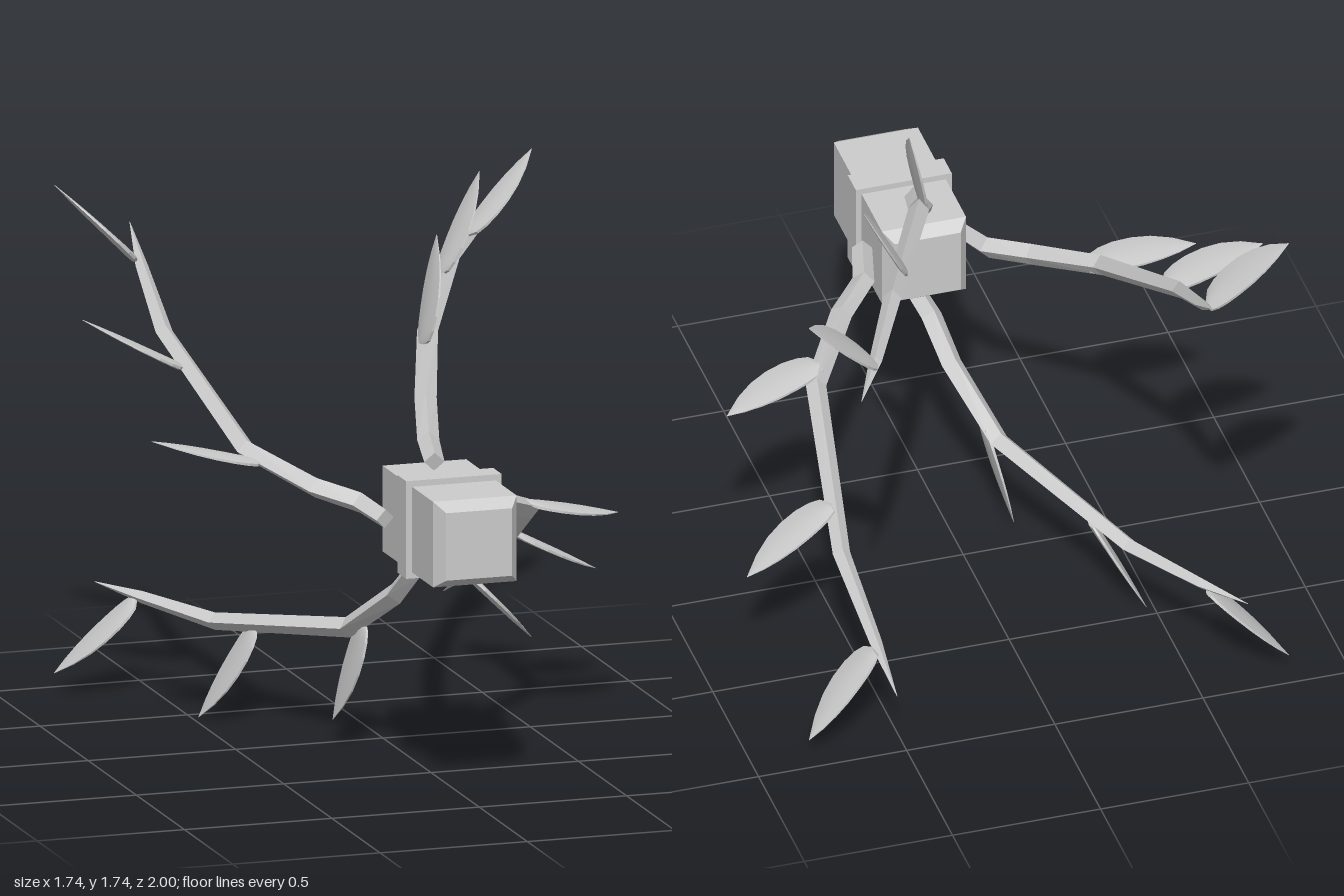
import * as THREE from 'three';

const grey = new THREE.MeshStandardMaterial({ color: 0xcccccc });
grey.name = 'grey';
const CENTRE_Y = 0.88;

// Flat-shaded solid through four-sided rings (counter-clockwise about the path)
function loft(rings) {
  const pos = [];
  const tri = (a, b, c) => [a, b, c].forEach((p) => pos.push(p.x, p.y, p.z));
  const quad = (a, b, c, d) => { tri(a, b, c); tri(a, c, d); };
  for (let i = 0; i < rings.length - 1; i++) {
    const a = rings[i], b = rings[i + 1];
    for (let j = 0; j < 4; j++) {
      const k = (j + 1) % 4;
      quad(a[j], a[k], b[k], b[j]);
    }
  }
  const s = rings[0], e = rings[rings.length - 1];
  quad(s[3], s[2], s[1], s[0]);
  quad(e[0], e[1], e[2], e[3]);
  const g = new THREE.BufferGeometry();
  g.setAttribute('position', new THREE.Float32BufferAttribute(pos, 3));
  g.computeVertexNormals();
  return g;
}

// Square block from [z, half width] steps
function squareBlock(steps) {
  return loft(steps.map(([z, h]) => [[-h, -h], [h, -h], [h, h], [-h, h]]
    .map(([x, y]) => new THREE.Vector3(x, y, z))));
}

// Bent, tapering branch with a diamond section; points are [x, y, z, radius]
function branchGeometry(points) {
  const centres = points.map(([x, y, z]) => new THREE.Vector3(x, y, z));
  const up = new THREE.Vector3(0, 1, 0);
  return loft(centres.map((c, i) => {
    const dirs = [];
    if (i > 0) dirs.push(c.clone().sub(centres[i - 1]).normalize());
    if (i < centres.length - 1) dirs.push(centres[i + 1].clone().sub(c).normalize());
    const t = dirs.reduce((s, d) => s.add(d), new THREE.Vector3()).normalize();
    const v = up.clone().cross(t).normalize();
    const u = t.clone().cross(v);
    const r = points[i][3];
    return [[1, 0], [0, 1], [-1, 0], [0, -1]].map(([a, b]) =>
      c.clone().addScaledVector(v, a * r).addScaledVector(u, b * r));
  }));
}

// Curved leaf growing along +y, blade in the yz plane, slightly domed on both sides
// rows: [distance from base, back edge z, front edge z, half thickness]
const LEAF_ROWS = [
  [0, 0.07, 0.12, 0.010], [0.025, 0.052, 0.158, 0.012], [0.06, 0.037, 0.172, 0.012],
  [0.11, 0.023, 0.176, 0.011], [0.17, 0.011, 0.164, 0.010], [0.23, 0.006, 0.137, 0.008],
  [0.29, 0.008, 0.09, 0.005], [0.35, 0.019, 0.021, 0.001],
];
function leafGeometry() {
  const pos = [], index = [], across = 4;
  for (const side of [1, -1]) {
    const first = pos.length / 3;
    LEAF_ROWS.forEach(([s, back, front, h], i) => {
      for (let j = 0; j <= across; j++) {
        const f = j / across;
        const dome = h * (0.35 + 0.65 * Math.sin(Math.PI * f));
        pos.push(side * dome, s, back + (front - back) * f);
        if (i === 0 || j === 0) continue;
        const d = first + i * (across + 1) + j, c = d - 1;
        const b = d - across - 1, a = b - 1;
        if (side > 0) index.push(a, c, d, a, d, b);
        else index.push(a, d, c, a, b, d);
      }
    });
  }
  // Thin rim closing the two domed faces
  const half = LEAF_ROWS.length * (across + 1);
  const base = pos.slice();
  const rim = (i, j) => {
    const k = (i * (across + 1) + j) * 3;
    const n = pos.length / 3;
    pos.push(...base.slice(k, k + 3), ...base.slice(k + half * 3, k + half * 3 + 3));
    return n;
  };
  for (const j of [0, across]) {
    for (let i = 0; i < LEAF_ROWS.length - 1; i++) {
      const a = rim(i, j), b = rim(i + 1, j);
      if (j) index.push(a, b, b + 1, a, b + 1, a + 1);
      else index.push(a, b + 1, b, a, a + 1, b + 1);
    }
  }
  for (let j = 0; j < across; j++) {
    const a = rim(0, j), b = rim(0, j + 1);
    index.push(a, b, b + 1, a, b + 1, a + 1);
  }
  const g = new THREE.BufferGeometry();
  g.setAttribute('position', new THREE.Float32BufferAttribute(pos, 3));
  g.setIndex(index);
  g.computeVertexNormals();
  return g;
}

function addMesh(parent, geometry, name) {
  const m = new THREE.Mesh(geometry, grey);
  m.name = name;
  parent.add(m);
  return m;
}

export function createModel() {
  const model = new THREE.Group();
  model.name = 'branchingBlock';

  // Block with bevelled ends and a raised collar
  const core = new THREE.Group();
  core.name = 'core';
  core.position.y = CENTRE_Y;
  addMesh(core, squareBlock([[0.39, 0.112], [0.43, 0.142], [0.955, 0.142], [1.0, 0.112]]), 'block');
  addMesh(core, squareBlock([[0.65, 0.162], [0.738, 0.162]]), 'collar');
  model.add(core);

  // Four identical branches around the z axis, three leaves on each
  const branch = branchGeometry([
    [-0.005, 0.172, 0.55, 0.033], [0.02, 0.21, 0.41, 0.036], [0.05, 0.322, 0.29, 0.036],
    [0.135, 0.482, 0.05, 0.034], [0.40, 0.572, -0.52, 0.029], [0.55, 0.55, -0.82, 0.021],
    [0.652, 0.532, -1.0, 0.001],
  ]);
  const leaf = leafGeometry();
  // [base x, base y, z shift, lean]
  const leaves = [
    [0.10, 0.45, 0, 0.22], [0.315, 0.56, -0.475, 0.48], [0.563, 0.562, -0.955, 0.785],
  ];
  for (let i = 0; i < 4; i++) {
    const arm = new THREE.Group();
    arm.name = 'arm' + (i + 1);
    arm.position.y = CENTRE_Y;
    arm.rotation.z = -i * Math.PI / 2;
    addMesh(arm, branch, 'branch');
    leaves.forEach(([x, y, z, lean], n) => {
      const m = addMesh(arm, leaf, 'leaf' + (n + 1));
      m.position.set(x, y, z);
      m.rotation.z = -lean;
    });
    model.add(arm);
  }
  return model;
}
